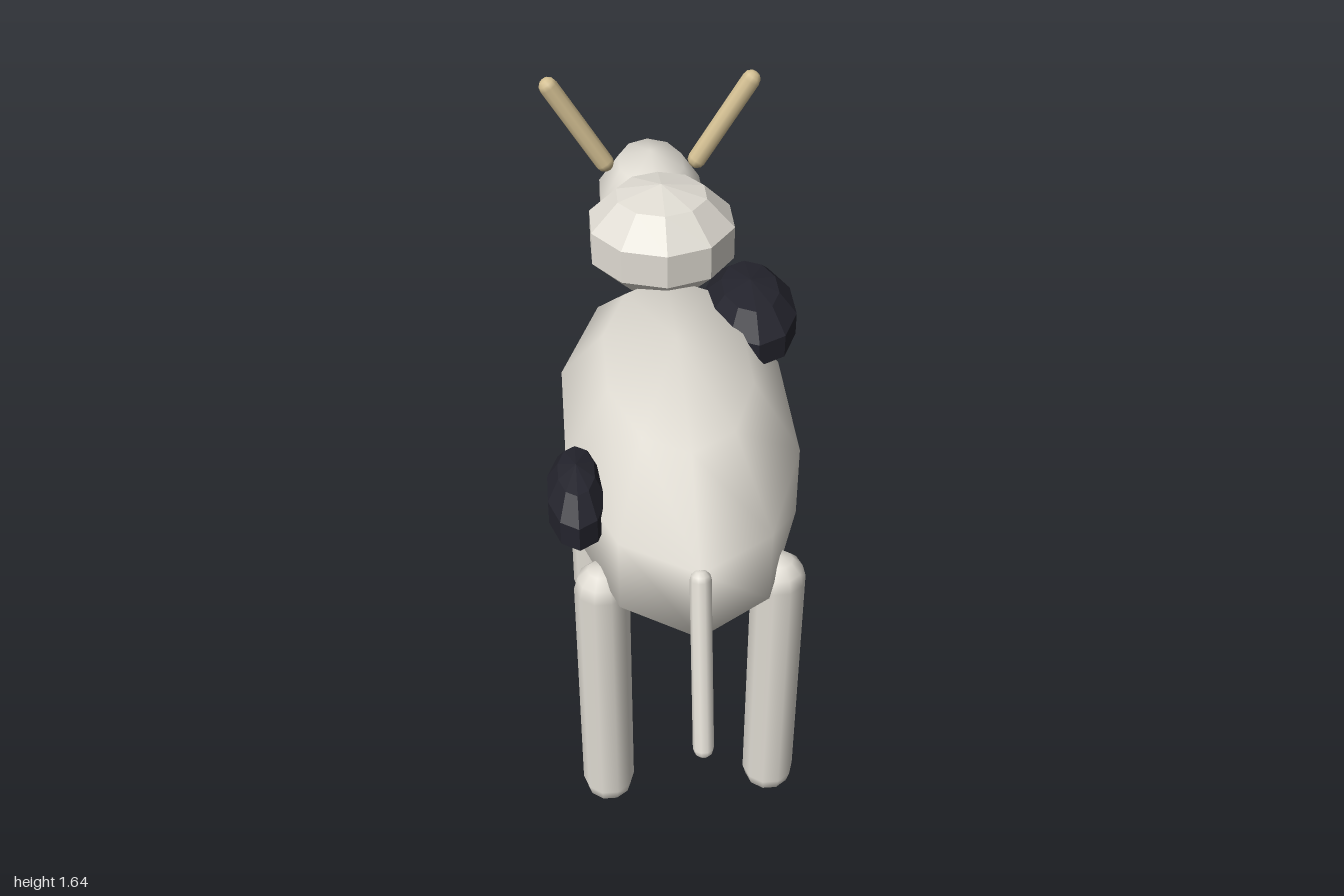
import * as THREE from 'three';

const hide = new THREE.MeshStandardMaterial({ color: 0xe0dcd3 });
hide.name = 'cream hide';
const dark = new THREE.MeshStandardMaterial({ color: 0x24242d });
dark.name = 'dark patch';
const horn = new THREE.MeshStandardMaterial({ color: 0xd3bf92 });
horn.name = 'horn tan';

// Low-poly ellipsoid with a vertex on the z axis; faceted or smooth
function ellipsoid(name, material, center, radii, faceted = false) {
  let geometry = new THREE.SphereGeometry(1, 10, 5, Math.PI / 2);
  geometry.scale(...radii);
  if (faceted) {
    geometry = geometry.toNonIndexed();
    geometry.computeVertexNormals();
  }
  const mesh = new THREE.Mesh(geometry, material);
  mesh.name = name;
  mesh.position.set(...center);
  return mesh;
}

// Round-ended rod between the centres of its two end caps
function rod(name, material, from, to, radius, sides) {
  const a = new THREE.Vector3(...from);
  const b = new THREE.Vector3(...to);
  const dir = b.clone().sub(a);
  const mesh = new THREE.Mesh(new THREE.CapsuleGeometry(radius, dir.length(), 3, sides), material);
  mesh.name = name;
  mesh.position.copy(a).add(b).multiplyScalar(0.5);
  mesh.quaternion.setFromUnitVectors(new THREE.Vector3(0, 1, 0), dir.normalize());
  return mesh;
}

export function createModel() {
  const model = new THREE.Group();
  model.name = 'cow';

  // Trunk, shoulder hump and head (the head points to -z)
  model.add(
    ellipsoid('body', hide, [0, 0.965, 0.185], [0.343, 0.345, 0.7]),
    ellipsoid('neckHump', hide, [0, 1.33, -0.327], [0.228, 0.163, 0.228], true),
    ellipsoid('head', hide, [0, 1.19, -0.745], [0.177, 0.197, 0.268])
  );

  // Coat patches
  model.add(
    ellipsoid('shoulderPatch', dark, [0.232, 1.197, -0.095], [0.138, 0.11, 0.232], true),
    ellipsoid('hipPatch', dark, [-0.285, 1.052, 0.515], [0.083, 0.112, 0.173], true)
  );

  // Legs and horns, mirrored left and right
  for (const [side, s] of [['left', 1], ['right', -1]]) {
    for (const [end, z] of [['front', -0.233], ['rear', 0.605]]) {
      const x = s * 0.233;
      model.add(rod(`${side} ${end} leg`, hide, [x, 0.073, z], [x, 0.82, z], 0.073, 10));
    }
    model.add(rod(`${side} horn`, horn, [s * 0.145, 1.353, -0.745], [s * 0.306, 1.61, -0.745], 0.03, 10));
  }

  // Tail
  model.add(rod('tail', hide, [0, 1.052, 0.845], [0, 0.592, 0.973], 0.027, 10));

  return model;
}
